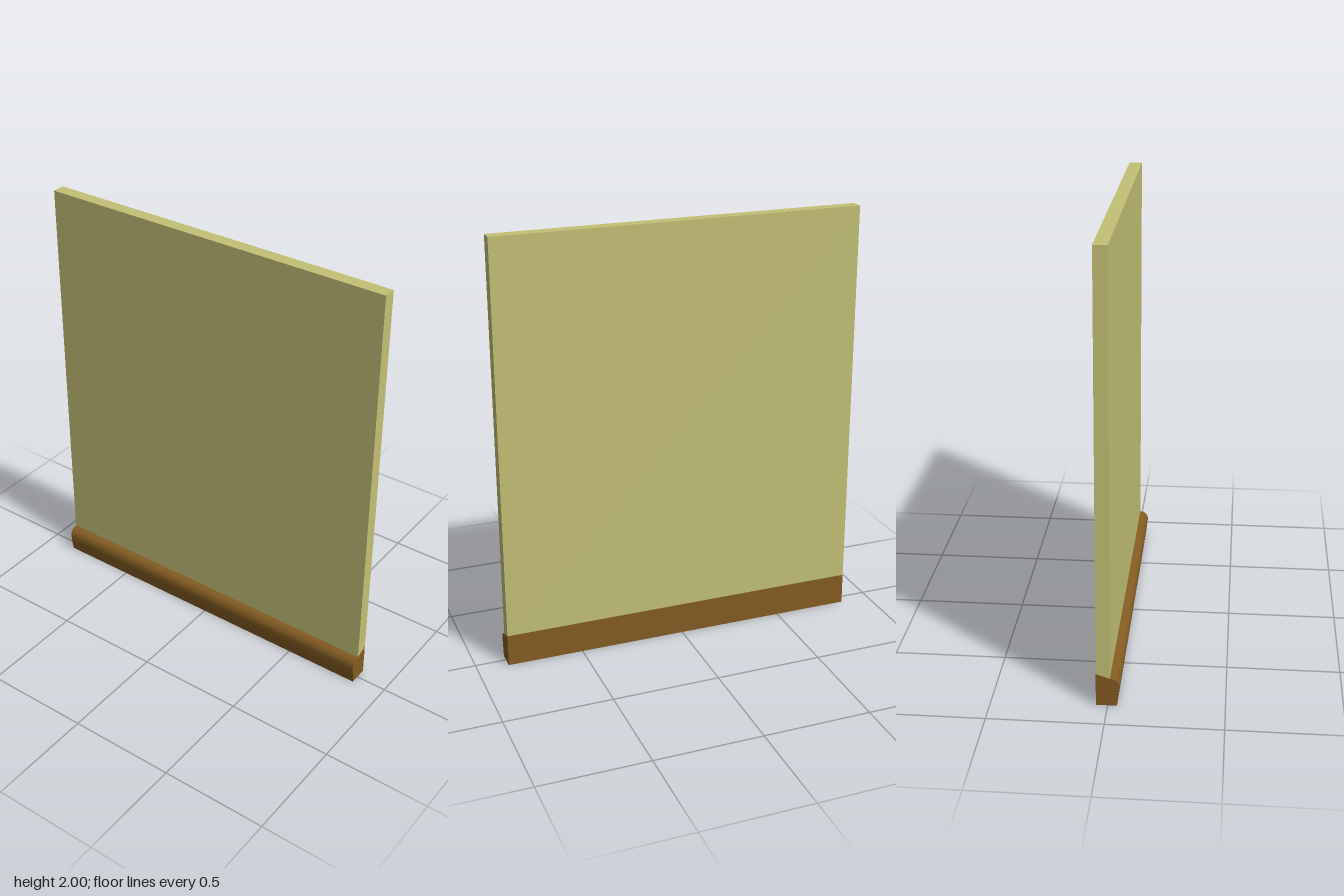
import * as THREE from 'three';
import { toCreasedNormals } from 'three/addons/utils/BufferGeometryUtils.js';

const WIDTH = 1.71;

// Sweeps a [z, y] profile along x, centred on x = 0
function sweep(name, points, material) {
  const shape = new THREE.Shape(points.map(([z, y]) => new THREE.Vector2(z, y)));
  const geometry = new THREE.ExtrudeGeometry(shape, { depth: WIDTH, bevelEnabled: false });
  geometry.translate(0, 0, -WIDTH / 2);
  geometry.rotateY(-Math.PI / 2);
  const mesh = new THREE.Mesh(toCreasedNormals(geometry, 0.9), material);
  mesh.name = name;
  return mesh;
}

export function createModel() {
  const plaster = new THREE.MeshStandardMaterial({ color: 0xc4c076 });
  plaster.name = 'pale olive plaster';
  const wood = new THREE.MeshStandardMaterial({ color: 0x835c22 });
  wood.name = 'brown wood';

  const group = new THREE.Group();
  group.name = 'wallPanel';

  // Flat wall slab resting on the sloped top of the skirting
  group.add(sweep('wall', [[-0.05, 0.15], [0.01, 0.13], [0.01, 2], [-0.05, 2]], plaster));

  // Skirting board with a softly rounded front
  group.add(sweep('skirtingBoard', [
    [-0.05, 0], [0.04, 0], [0.046, 0.05], [0.051, 0.09],
    [0.046, 0.108], [0.032, 0.125], [0.01, 0.13], [-0.05, 0.15],
  ], wood));

  return group;
}
